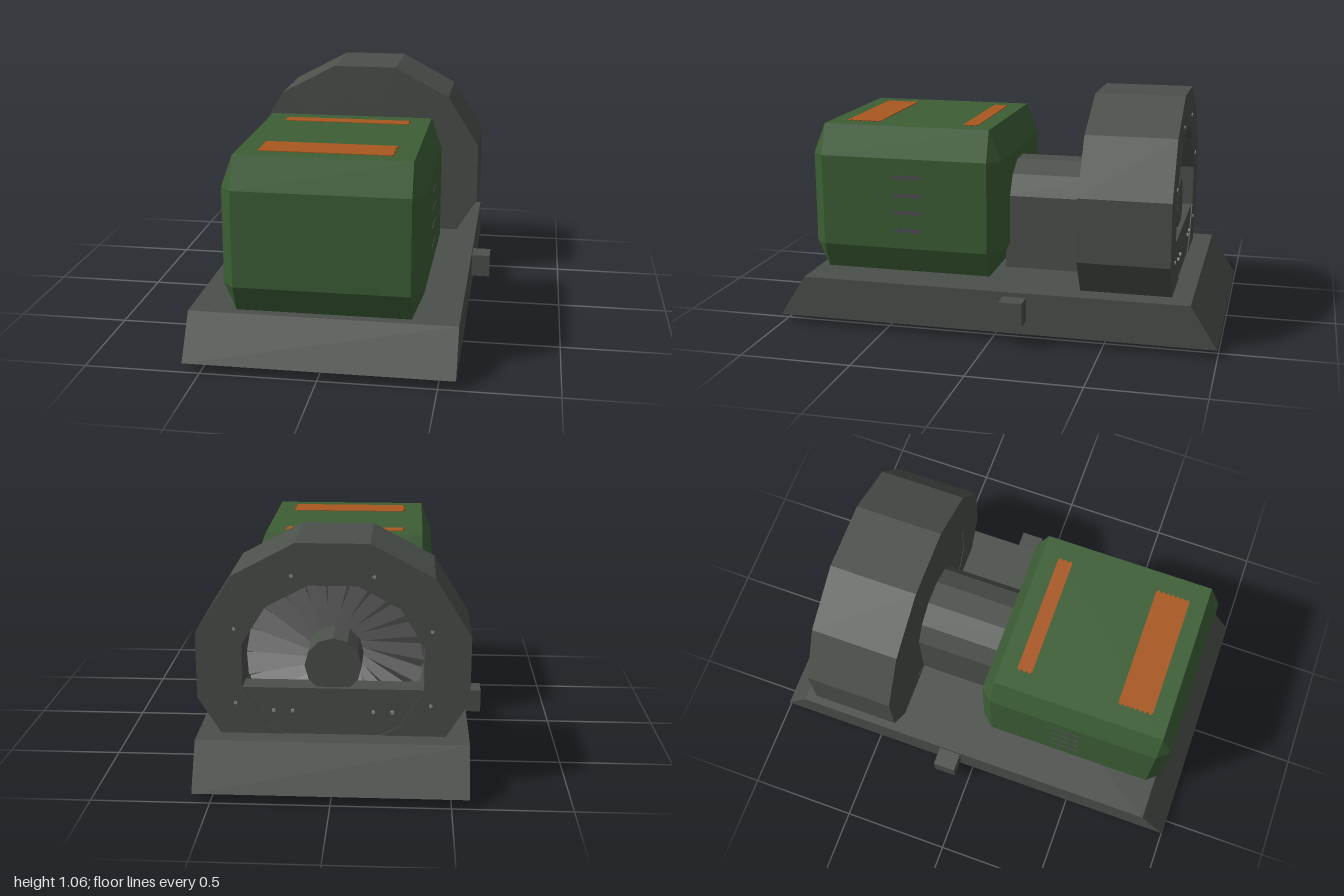
import * as THREE from 'three';
import { ConvexGeometry } from 'three/addons/geometries/ConvexGeometry.js';

const mat = (name, color, side = THREE.FrontSide) =>
  new THREE.MeshStandardMaterial({ name, color, side, flatShading: true });

const V = (x, y) => new THREE.Vector2(x, y);

// Twelve-sided outline, stretched to an oval, with flat top and sides
function dodecagon(rx, ry) {
  return Array.from({ length: 12 }, (_, i) => {
    const a = (i + 0.5) * Math.PI / 6;
    return V(rx * Math.cos(a), ry * Math.sin(a));
  });
}

// Prism along z between z0 and z1
function prism(points, z0, z1, hole) {
  const shape = new THREE.Shape(points);
  if (hole) shape.holes.push(new THREE.Path(hole));
  const g = new THREE.ExtrudeGeometry(shape, { depth: z1 - z0, bevelEnabled: false });
  return g.translate(0, 0, z0);
}

export function createModel() {
  const grey = mat('dark grey', 0x4c504b);
  const green = mat('engine green', 0x3d5f36);
  const orange = mat('vent orange', 0xa9571f);
  const slotGrey = mat('slot grey', 0x504c56);
  const steel = mat('light steel', 0x909090, THREE.DoubleSide);

  const model = new THREE.Group();
  model.name = 'enginePoweredBlower';
  const add = (name, geometry, material, parent = model) => {
    const mesh = new THREE.Mesh(geometry, material);
    mesh.name = name;
    parent.add(mesh);
    return mesh;
  };

  // Skid base with sloping ends
  const base = prism([V(-1, 0.045), V(1, 0.045), V(0.88, 0.235), V(-0.88, 0.235)], -0.575, 0.575);
  add('base', base.rotateY(Math.PI / 2), grey);
  for (const s of [-1, 1]) {
    add('sideLug', new THREE.BoxGeometry(0.095, 0.105, 0.105), grey).position.set(s * 0.6125, 0.1625, -0.11);
  }

  // Engine cover: a box chamfered on every edge
  const pts = [];
  for (const sx of [-1, 1]) for (const sz of [-1, 1]) {
    const zc = 0.445 + sz * 0.39, zo = 0.445 + sz * 0.445;
    for (const y of [0.235, 0.915]) pts.push(new THREE.Vector3(sx * 0.375, y, zc));
    for (const y of [0.355, 0.775]) {
      pts.push(new THREE.Vector3(sx * 0.375, y, zo), new THREE.Vector3(sx * 0.425, y, zc));
    }
  }
  add('engineCover', new ConvexGeometry(pts), green);

  // Slats with pointed ends, on top and on both sides of the cover
  const slat = (len, w) => {
    const l = len / 2, h = w / 2;
    return prism([V(-l, 0), V(-l + h, -h), V(l - h, -h), V(l, 0), V(l - h, h), V(-l + h, h)], -0.003, 0.003);
  };
  for (const [start, count] of [[0.144, 3], [0.612, 7]]) {
    const vent = new THREE.Group();
    vent.name = 'topVent';
    model.add(vent);
    for (let i = 0; i < count; i++) {
      const m = add('ventSlat', slat(0.575, 0.0225), orange, vent);
      m.rotation.x = -Math.PI / 2;
      m.position.set(0, 0.915, start + i * 0.0225);
    }
  }
  for (const s of [-1, 1]) for (const y of [0.44, 0.525, 0.605, 0.69]) {
    const m = add('sideSlot', slat(0.14, 0.016), slotGrey);
    m.rotation.y = Math.PI / 2;
    m.position.set(s * 0.424, y, 0.425);
  }

  // Arched drive housing between engine and fan
  const arch = [V(-0.21, 0.235), V(0.21, 0.235)];
  for (const p of dodecagon(0.215, 0.207).slice(0, 6)) arch.push(V(p.x, p.y + 0.525));
  add('driveHousing', prism(arch, -0.4, 0.02), grey);

  // Fan assembly, centred on its axle
  const fan = new THREE.Group();
  fan.name = 'fan';
  fan.position.y = 0.535;
  model.add(fan);
  const opening = dodecagon(0.395, 0.365);
  add('fanHousing', prism(dodecagon(0.595, 0.549), -0.79, -0.385, opening), grey, fan);
  add('fanFrontPlate', prism(opening, -0.44, -0.388), grey, fan);
  add('fanLowerCover', prism(opening.slice(6), -0.785, -0.68), grey, fan);
  const hub = new THREE.CylinderGeometry(0.12, 0.12, 0.33, 12).rotateX(Math.PI / 2);
  add('fanHub', hub, grey, fan).position.z = -0.6;

  // Tapered blades, each tilted about its own length
  const blade = new THREE.PlaneGeometry(0.1, 0.28);
  const bp = blade.attributes.position;
  for (let i = 0; i < bp.count; i++) {
    const outer = bp.getY(i) > 0;
    if (!outer) bp.setX(i, bp.getX(i) * 0.4);
    bp.setZ(i, outer ? -0.05 : 0.05);
  }
  blade.rotateY(0.45).translate(0, 0.235, -0.61);
  for (let i = 0; i < 22; i++) {
    add('fanBlade', blade, steel, fan).rotation.z = i * Math.PI * 2 / 22;
  }

  // Bolts on the rear face
  const bolt = new THREE.CylinderGeometry(0.008, 0.008, 0.012, 6).rotateX(Math.PI / 2);
  const spots = [[-0.25, -0.195], [-0.17, -0.195], [0.17, -0.195], [0.25, -0.195]];
  for (let i = 0; i < 8; i++) {
    const a = (i + 0.5) * Math.PI / 4;
    spots.push([0.445 * Math.cos(a), 0.425 * Math.sin(a)]);
  }
  for (const [x, y] of spots) add('bolt', bolt, steel, fan).position.set(x, y, -0.789);

  return model;
}
